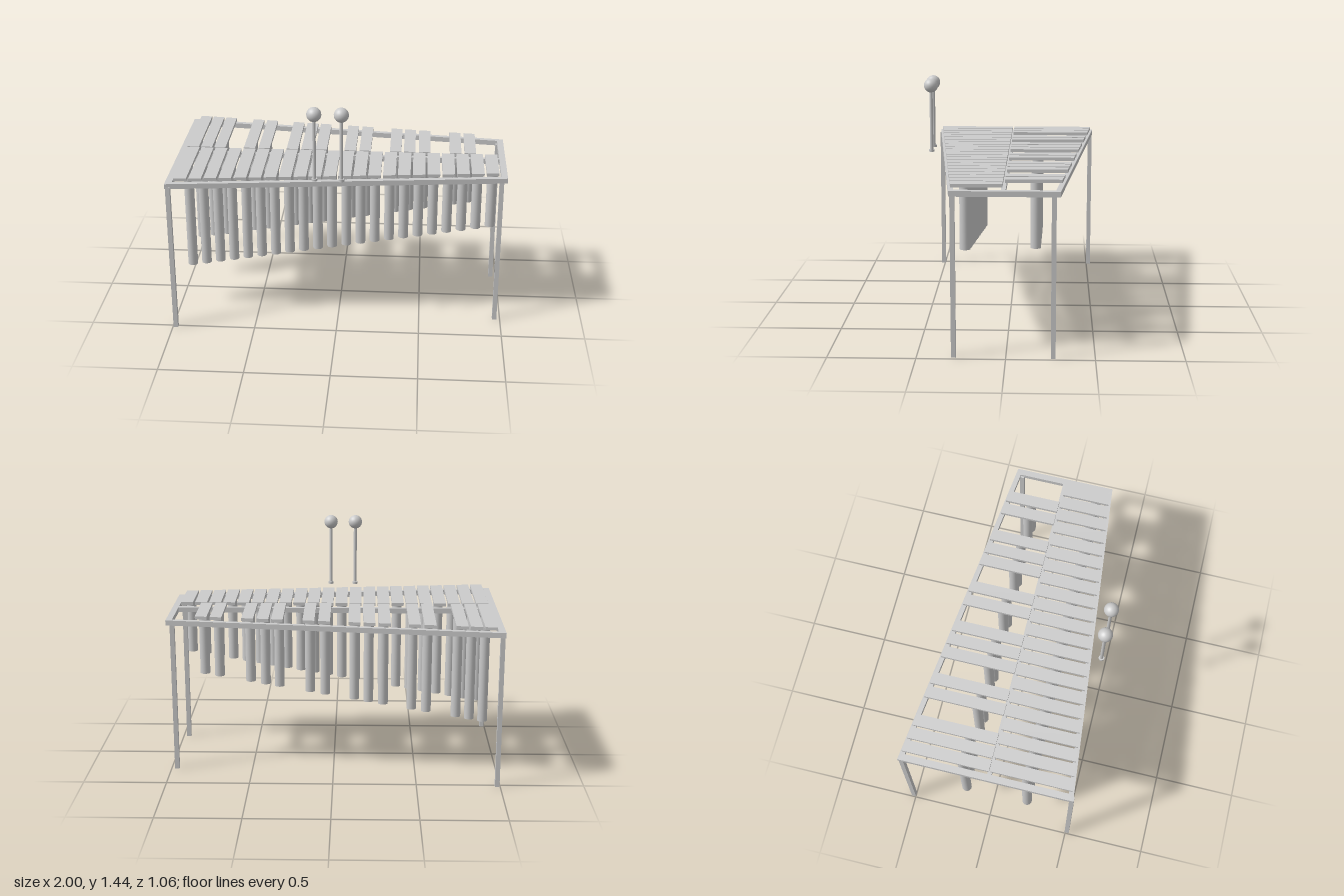
import * as THREE from 'three';

const material = new THREE.MeshStandardMaterial({ color: 0xcccccc });

// Slanted front and back edges of the tapering frame
const frontZ = x => 0.415 - 0.105 * x;
const backZ = x => -0.415 + 0.115 * x;

function add(parent, geometry, name, x = 0, y = 0, z = 0) {
  const mesh = new THREE.Mesh(geometry, material);
  mesh.name = name;
  mesh.position.set(x, y, z);
  parent.add(mesh);
  return mesh;
}

// Four-cornered outline in plan, from x0 to x1 between two edge functions
function outline(x0, x1, back, front, PathType = THREE.Shape) {
  return new PathType([
    new THREE.Vector2(x0, back(x0)), new THREE.Vector2(x1, back(x1)),
    new THREE.Vector2(x1, front(x1)), new THREE.Vector2(x0, front(x0)),
  ]);
}

// Flat slab hanging down from y = top
function slab(shape, top, thickness) {
  const geometry = new THREE.ExtrudeGeometry(shape, { depth: thickness, bevelEnabled: false });
  return geometry.rotateX(Math.PI / 2).translate(0, top, 0);
}

// Resonator tube, closed on top and open at the bottom
function tubeGeometry(bottom) {
  const top = 0.966, r = 0.03, bore = 0.019;
  const rings = [[[0, 0.94], [bore, 0.94]], [[bore, 0.94], [bore, bottom]], [[bore, bottom], [r, bottom]],
    [[r, bottom], [r, top]], [[r, top], [0, top]]];
  return rings.map(pair => new THREE.LatheGeometry(pair.map(p => new THREE.Vector2(...p)), 20));
}

function addNote(parent, x, width, back, front, tubeZ, name) {
  const note = new THREE.Group();
  note.name = name;
  add(note, slab(outline(x - width / 2, x + width / 2, back, front), 0.986, 0.019), 'toneBar');
  const tube = new THREE.Group();
  tube.name = 'resonatorTube';
  for (const part of tubeGeometry(0.29 + 0.176 * (x + 0.91))) add(tube, part, 'tubeWall', x, 0, tubeZ);
  note.add(tube);
  parent.add(note);
}

export function createModel() {
  const model = new THREE.Group();
  model.name = 'barInstrument';

  // Tapered frame with a centre rail
  const frame = outline(-1, 1, backZ, frontZ);
  frame.holes.push(
    outline(-0.96, 0.963, x => backZ(x) + 0.03, () => 0, THREE.Path),
    outline(-0.96, 0.963, () => 0.026, x => frontZ(x) - 0.03, THREE.Path),
  );
  add(model, slab(frame, 0.957, 0.031), 'frame');

  // Legs
  const legs = [[-0.982, 0.509], [-0.982, -0.513], [0.966, 0.292], [0.966, -0.265]];
  for (const [x, z] of legs) add(model, new THREE.BoxGeometry(0.027, 0.94, 0.027), 'leg', x, 0.47, z);

  // Front row: 22 evenly spaced bars
  for (let i = 0; i < 22; i++) {
    addNote(model, -0.911 + i * 0.0868, 0.074, () => 0.018, x => frontZ(x) - 0.012, 0.226, 'frontNote');
  }

  // Back row: bars in groups of three and two
  const backX = [-0.915, -0.833, -0.75, -0.567, -0.477, -0.302, -0.212, -0.125, 0.053, 0.145,
    0.332, 0.417, 0.508, 0.698, 0.787];
  for (const x of backX) {
    addNote(model, x, 0.07, x => backZ(x) + 0.01, () => 0.008, -0.163, 'backNote');
  }

  // Pair of upright mallets
  for (const x of [-0.125, 0.031]) {
    const mallet = new THREE.Group();
    mallet.name = 'mallet';
    mallet.position.set(x, 0, 0.488);
    add(mallet, new THREE.CylinderGeometry(0.01, 0.01, 0.38, 16), 'malletStick', 0, 1.185, 0);
    add(mallet, new THREE.CylinderGeometry(0.017, 0.017, 0.014, 16), 'malletEnd', 0, 0.999, 0);
    add(mallet, new THREE.SphereGeometry(0.043, 24, 16), 'malletHead', 0, 1.4, 0);
    model.add(mallet);
  }
  return model;
}
